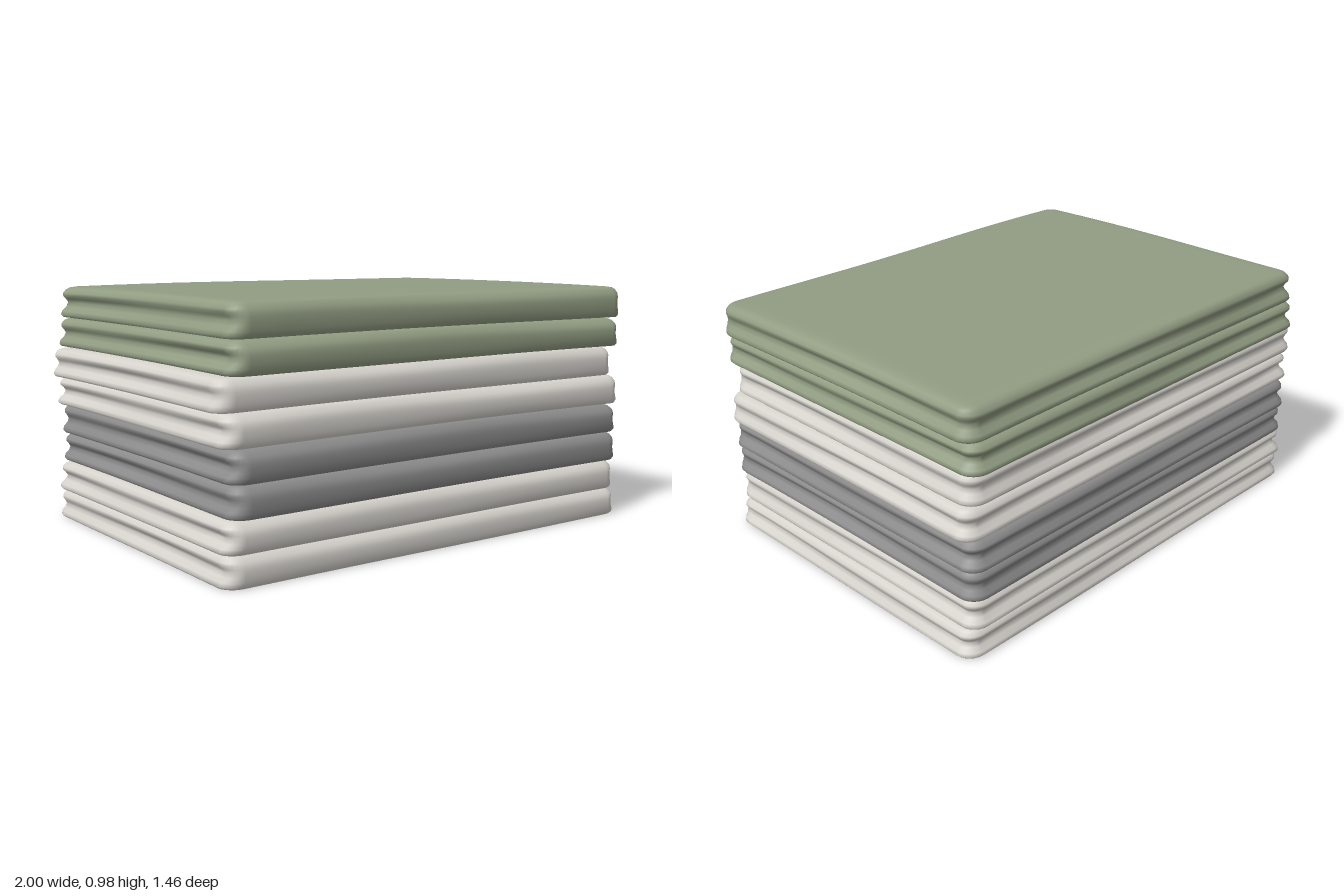
import * as THREE from 'three';

// Rim profiles, bottom to top: [inset, height fraction]
const WAIST = [[0.008, 0], [0, 0.08], [0.004, 0.2], [0.02, 0.34], [0.027, 0.48], [0.02, 0.6],
  [0.01, 0.7], [0.01, 0.8], [0.022, 0.92], [0.036, 0.975], [0.06, 1]];
const FOLD = [[0.012, 0], [0.005, 0.08], [0.002, 0.2], [0, 0.34], [0, 0.48], [0.001, 0.6],
  [0.004, 0.7], [0.01, 0.8], [0.024, 0.92], [0.038, 0.975], [0.062, 1]];
const RADIUS = 0.075;

// Rounded rectangle as points with outward normals, running from +x towards +z
function outline(hx, hz) {
  const pts = [], arc = 6, seg = 12;
  const corners = [[1, 1], [-1, 1], [-1, -1], [1, -1]];
  corners.forEach(([sx, sz], k) => {
    const cx = sx * (hx - RADIUS), cz = sz * (hz - RADIUS);
    for (let i = 0; i <= arc; i++) {
      const a = (k + i / arc) * Math.PI / 2;
      pts.push({ x: cx + RADIUS * Math.cos(a), z: cz + RADIUS * Math.sin(a), nx: Math.cos(a), nz: Math.sin(a) });
    }
    // straight edge to the next corner
    const last = pts[pts.length - 1], [tx, tz] = corners[(k + 1) % 4];
    const ex = tx * (hx - RADIUS) + RADIUS * last.nx, ez = tz * (hz - RADIUS) + RADIUS * last.nz;
    for (let i = 1; i < seg; i++) {
      const t = i / seg;
      pts.push({ x: last.x + (ex - last.x) * t, z: last.z + (ez - last.z) * t, nx: last.nx, nz: last.nz });
    }
  });
  return pts;
}

// Soft sag of the cloth: lowest at the rim, different for each layer
function sag(x, z, i) {
  if (i < 0) return 0;
  const wave = 0.5 + 0.5 * Math.sin(2.6 * x + 1.9 * i + 0.8 * Math.sin(2 * z + i));
  return 0.004 * wave + 0.006 * x * x + 0.01 * z * z;
}

function towelGeometry(i, x0, x1, z0, z1, y0, y1) {
  const cx = (x0 + x1) / 2, cz = (z0 + z1) / 2;
  const pts = outline((x1 - x0) / 2, (z1 - z0) / 2), n = pts.length;
  const pos = [], index = [];
  const rows = [];
  const addRow = (level, scale) => {
    rows.push(pts.map((p) => {
      const w = Math.max(0, p.nz) ** 2;
      const ripple = 1 + 0.2 * Math.sin(4 * (p.x - p.z) + i * 2.3);
      const inset = THREE.MathUtils.lerp(WAIST[level][0], FOLD[level][0], w) * ripple;
      const x = cx + (p.x - p.nx * inset) * scale, z = cz + (p.z - p.nz * inset) * scale;
      const low = y0 - 0.6 * sag(x, z, i - 1), high = y1 - sag(x, z, i);
      return [x, low + (high - low) * WAIST[level][1], z];
    }));
  };
  // underside, rim, then upper surface
  for (const s of [0, 0.5, 1]) addRow(0, s);
  for (let l = 0; l < WAIST.length; l++) addRow(l, 1);
  for (const s of [0.96, 0.85, 0.7, 0.5, 0.25, 0]) addRow(WAIST.length - 1, s);

  rows.forEach((row) => row.forEach((p) => pos.push(...p)));
  for (let r = 0; r < rows.length - 1; r++) {
    if (r === 2) continue; // keeps the lower edge sharp
    for (let k = 0; k < n; k++) {
      const a = r * n + k, b = r * n + (k + 1) % n;
      if (r < rows.length - 2) index.push(a, a + n, b);
      else index.push(a, a + n, b);
      if (r > 0 && r < rows.length - 2) index.push(b, a + n, b + n);
      if (r === 0) index.push(b, a + n, b + n);
    }
  }
  const geo = new THREE.BufferGeometry();
  geo.setAttribute('position', new THREE.Float32BufferAttribute(pos, 3));
  geo.setIndex(index);
  geo.computeVertexNormals();
  return geo;
}

export function createModel() {
  const mat = (name, color) => {
    const m = new THREE.MeshStandardMaterial({ color });
    m.name = name;
    return m;
  };
  const white = mat('warm white cloth', 0xd6d3cd);
  const grey = mat('grey cloth', 0x8b8b8b);
  const green = mat('sage green cloth', 0x929d83);

  // Towels from the bottom up: material, x range, z range, y range
  const towels = [
    ['whiteTowelLower', white, -0.98, 1.0, -0.715, 0.715, 0, 0.125],
    ['whiteTowelLower', white, -0.98, 0.98, -0.72, 0.72, 0.125, 0.246],
    ['greyTowel', grey, -0.955, 0.985, -0.725, 0.725, 0.247, 0.368],
    ['greyTowel', grey, -0.955, 0.99, -0.73, 0.72, 0.368, 0.49],
    ['whiteTowelUpper', white, -0.98, 1.0, -0.715, 0.715, 0.491, 0.612],
    ['whiteTowelUpper', white, -1.0, 0.97, -0.705, 0.7, 0.612, 0.735],
    ['greenTowel', green, -0.96, 0.98, -0.73, 0.73, 0.737, 0.86],
    ['greenTowel', green, -0.955, 0.985, -0.715, 0.727, 0.86, 0.988],
  ];
  const group = new THREE.Group();
  group.name = 'towelStack';
  towels.forEach(([name, material, ...box], i) => {
    const mesh = new THREE.Mesh(towelGeometry(i, ...box), material);
    mesh.name = `${name}${i % 2 ? 'Top' : 'Bottom'}`;
    group.add(mesh);
  });
  return group;
}
